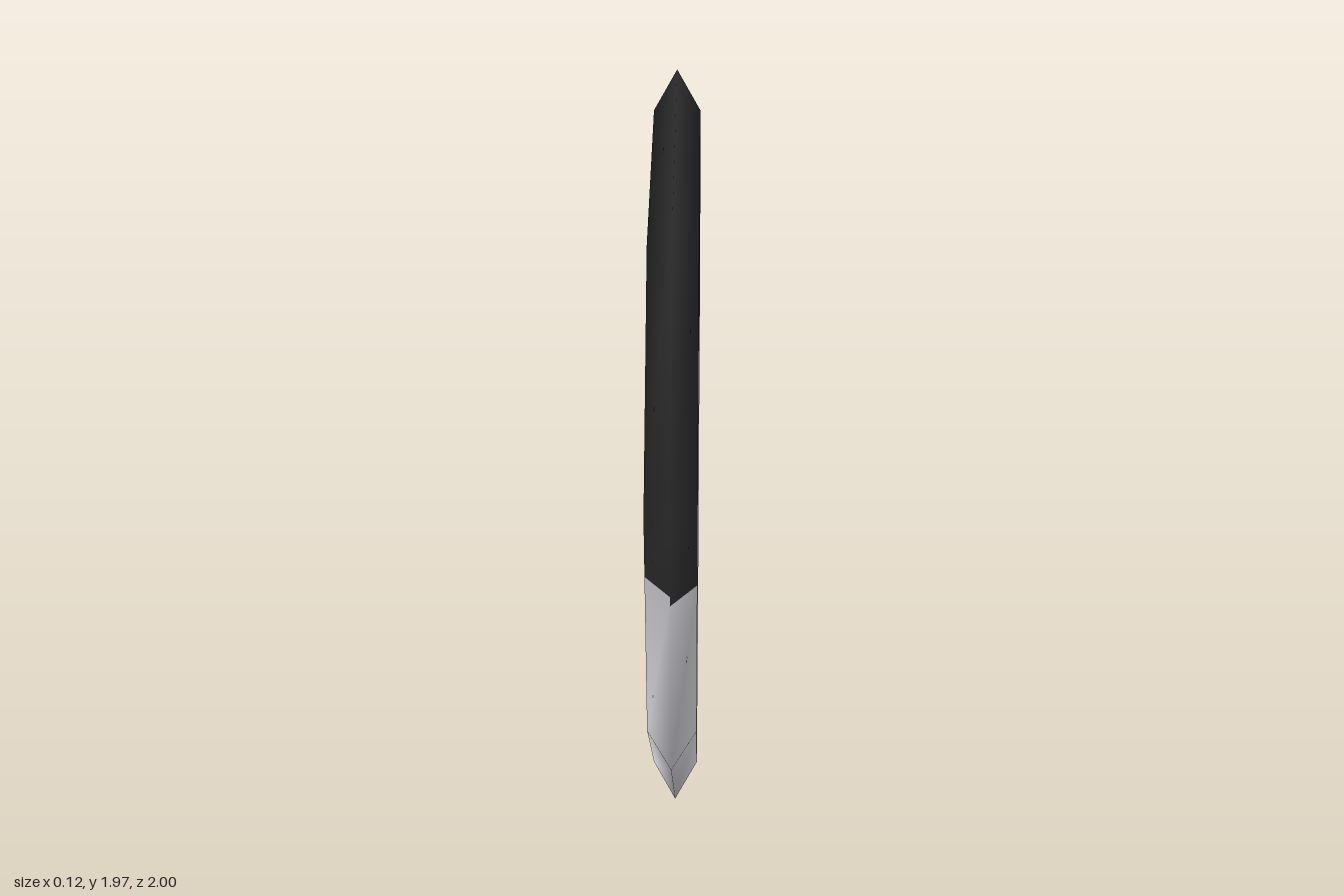
import * as THREE from 'three';

const SIDES = 9, RADIUS = 0.946, TUBE = 0.0695, CENTRE_Y = 0.954;
const STEP = (Math.PI * 2) / SIDES;

// Point and smooth normal at a corner of the nine-sided ring; j picks the triangular section's corner
function corner(i, j) {
  const a = i * STEP, phi = (j * Math.PI * 2) / 3;
  const rho = RADIUS + TUBE * Math.cos(phi);
  return {
    p: new THREE.Vector3(TUBE * Math.sin(phi), CENTRE_Y + rho * Math.cos(a), rho * Math.sin(a)),
    n: new THREE.Vector3(Math.sin(phi), Math.cos(phi) * Math.cos(a), Math.cos(phi) * Math.sin(a)),
  };
}

// Fractional stations lie on the straight edge between two corners
function station(s, j) {
  const i = Math.floor(s), A = corner(i, j), B = corner(i + 1, j);
  return { p: A.p.lerp(B.p, s - i), n: A.n.lerp(B.n, s - i).normalize() };
}

// One face of the tube, from station s0 to s1
function addStrip(pos, nor, j, s0, s1) {
  const stops = [s0];
  for (let i = Math.floor(s0) + 1; i < s1; i++) stops.push(i);
  stops.push(s1);
  for (let k = 0; k < stops.length - 1; k++) {
    const a = station(stops[k], j), b = station(stops[k + 1], j);
    const c = station(stops[k], j + 1), d = station(stops[k + 1], j + 1);
    for (const v of [a, b, c, b, d, c]) {
      pos.push(...v.p.toArray());
      nor.push(...v.n.toArray());
    }
  }
}

// Arc made of three strips, each with its own start and end
function arc(name, material, ranges) {
  const pos = [], nor = [];
  ranges.forEach(([s0, s1], j) => addStrip(pos, nor, j, s0, s1));
  const geo = new THREE.BufferGeometry();
  geo.setAttribute('position', new THREE.Float32BufferAttribute(pos, 3));
  geo.setAttribute('normal', new THREE.Float32BufferAttribute(nor, 3));
  const mesh = new THREE.Mesh(geo, material);
  mesh.name = name;
  return mesh;
}

export function createModel() {
  const black = new THREE.MeshStandardMaterial({ name: 'black', color: 0x2a2a2a });
  const silver = new THREE.MeshStandardMaterial({ name: 'silver', color: 0xd0d0d6 });

  // Heights of the colour break [front, back] on the left, inner and right faces
  const toStation = (y) => 2 + (1.131 - y) / 0.684;
  const breaks = [[0.93, 0.955], [0.95, 0.925], [0.955, 0.93]]
    .map(([front, back]) => [toStation(front), toStation(back)]);

  const group = new THREE.Group();
  group.name = 'ring';
  group.add(
    arc('upperArc', black, breaks.map(([f, b]) => [-b, f])),
    arc('lowerArc', silver, breaks.map(([f, b]) => [f, SIDES - b])),
  );
  return group;
}
